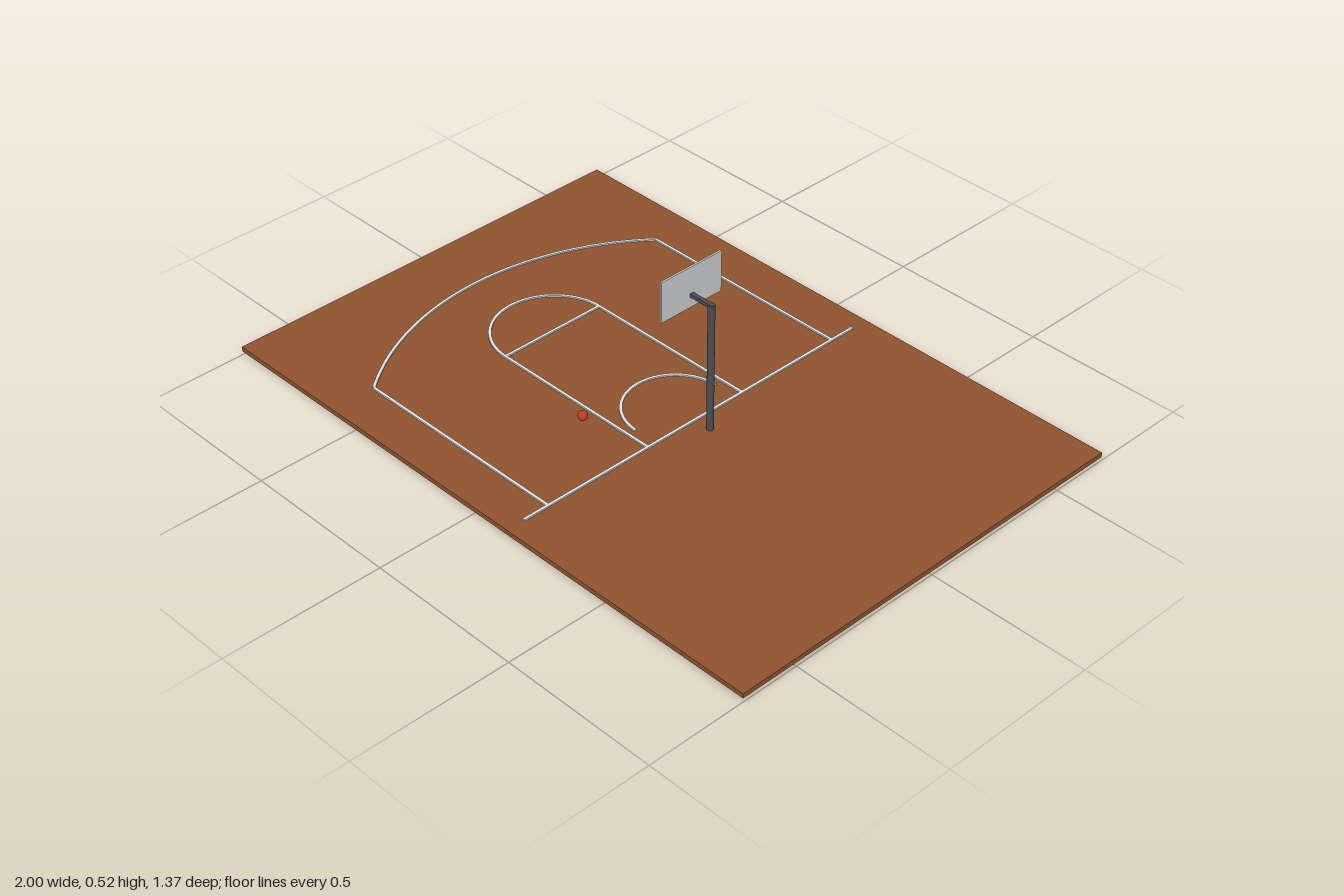
import * as THREE from 'three';

const mat = (name, color, side = THREE.FrontSide) => {
  const m = new THREE.MeshStandardMaterial({ color, side });
  m.name = name;
  return m;
};

export function createModel() {
  const root = new THREE.Group();
  root.name = 'basketballCourt';
  const wood = mat('courtBrown', 0x91542e);
  const white = mat('lineWhite', 0xe2e6e8);
  const boardGrey = mat('boardGrey', 0xcdd0d3);
  const steel = mat('poleGrey', 0x4a4f56);
  const red = mat('rimRed', 0xc23a24);

  const add = (name, geometry, material, x, y, z, parent = root) => {
    const mesh = new THREE.Mesh(geometry, material);
    mesh.name = name;
    mesh.position.set(x, y, z);
    parent.add(mesh);
    return mesh;
  };
  const box = (name, w, h, d, material, x, y, z, parent) =>
    add(name, new THREE.BoxGeometry(w, h, d), material, x, y, z, parent);

  // Court slab
  box('floor', 2, 0.015, 1.372, wood, 0, 0.0195, 0);

  // Court markings
  const lines = new THREE.Group();
  lines.name = 'courtLines';
  root.add(lines);
  const W = 0.009, H = 0.005, Y = 0.0290, baseX = 0.137, hoopX = 0.06;
  const lineX = (name, x0, x1, z) => box(name, x1 - x0, H, W, white, (x0 + x1) / 2, Y, z, lines);
  const lineZ = (name, x, half) => box(name, W, H, half * 2, white, x, Y, 0, lines);
  // Arc bulging towards -x, spanning half an angle either side of the axis
  const arc = (name, x, r, half) => {
    const s = new THREE.Shape();
    s.absarc(0, 0, r + W / 2, Math.PI - half, Math.PI + half, false);
    s.absarc(0, 0, r - W / 2, Math.PI + half, Math.PI - half, true);
    const g = new THREE.ExtrudeGeometry(s, { depth: H, bevelEnabled: false, curveSegments: 40 });
    g.rotateX(-Math.PI / 2);
    add(name, g, white, x, Y - H / 2, 0, lines);
  };
  lineZ('baseline', baseX, 0.628);
  lineZ('freeThrowLine', -0.445, 0.18);
  for (const s of [-1, 1]) {
    lineX('keySide', -0.445, baseX, s * 0.18);
    lineX('threePointSide', -0.585, baseX, s * 0.542);
  }
  arc('threePointArc', hoopX, 0.843, Math.asin(0.542 / 0.843));
  arc('freeThrowArc', -0.445, 0.18, Math.PI / 2);
  arc('restrictedArc', hoopX, 0.152, Math.PI / 2);

  // Pole and arm
  add('pole', new THREE.CylinderGeometry(0.0105, 0.0105, 0.438, 20), steel, 0.193, 0.219, 0);
  box('arm', 0.084, 0.011, 0.013, steel, 0.160, 0.433, 0);

  // Backboard with target frame
  const boardX = 0.115;
  box('backboard', 0.006, 0.129, 0.223, boardGrey, boardX, 0.458, 0);
  const frame = new THREE.Group();
  frame.name = 'targetFrame';
  frame.position.set(boardX - 0.005, 0.440, 0);
  root.add(frame);
  for (const s of [-1, 1]) {
    box('frameBar', 0.004, 0.005, 0.075, red, 0, s * 0.028, 0, frame);
    box('frameSide', 0.004, 0.061, 0.005, red, 0, 0, s * 0.035, frame);
  }

  // Rim and bracket
  const rimY = 0.409, rimR = 0.028;
  const rim = add('rim', new THREE.TorusGeometry(rimR, 0.0025, 8, 32), red, hoopX, rimY, 0);
  rim.rotation.x = Math.PI / 2;
  box('rimBracket', 0.026, 0.005, 0.012, red, 0.1, rimY, 0);

  // Net of crossing cords
  const net = new THREE.Group();
  net.name = 'net';
  net.position.set(hoopX, rimY, 0);
  root.add(net);
  const radiusAt = t => 0.027 - 0.011 * Math.pow(t, 0.8);
  const depth = 0.057, cords = 12;
  for (const dir of [-1, 1]) {
    for (let i = 0; i < cords; i++) {
      const pts = [];
      for (let k = 0; k <= 4; k++) {
        const t = k / 4, a = (i / cords) * Math.PI * 2 + dir * t * Math.PI / 3;
        pts.push(new THREE.Vector3(Math.cos(a) * radiusAt(t), -depth * t, Math.sin(a) * radiusAt(t)));
      }
      add('netCord', new THREE.TubeGeometry(new THREE.CatmullRomCurve3(pts), 8, 0.0009, 5), white, 0, 0, 0, net);
    }
  }
  const hem = add('netHem', new THREE.TorusGeometry(radiusAt(1), 0.0009, 5, 24), white, 0, -depth, 0, net);
  hem.rotation.x = Math.PI / 2;

  // Ball
  add('ball', new THREE.SphereGeometry(0.0145, 24, 16), red, -0.011, 0.108, 0.281);

  return root;
}
